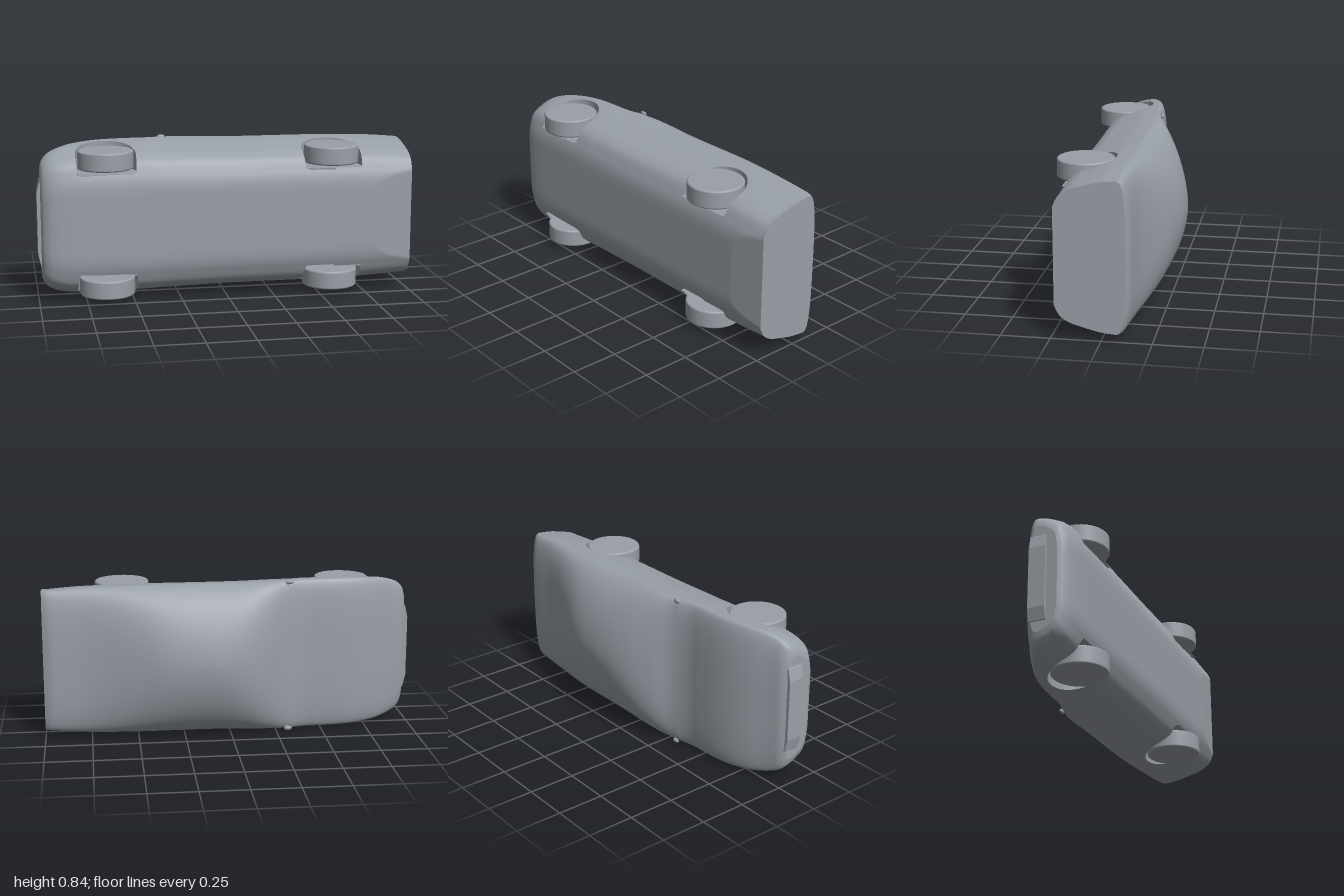
import * as THREE from 'three';

const MID = 0.42;            // height of the car's centre plane (it lies on its side, roof towards -z)
const ARCH_R = 0.158, ARCH_IN = 0.27, AXLE_Z = 0.15, AXLES = [-0.64, 0.57];

// Smooth cubic through [x, value] knots
function curve(knots) {
  const n = knots.length;
  const slope = (i) => {
    const a = knots[Math.max(0, i - 1)], b = knots[Math.min(n - 1, i + 1)];
    return (b[1] - a[1]) / (b[0] - a[0]);
  };
  return (x) => {
    let i = 0;
    while (i < n - 2 && x > knots[i + 1][0]) i++;
    const [x0, y0] = knots[i], [x1, y1] = knots[i + 1], h = x1 - x0;
    const t = Math.min(1, Math.max(0, (x - x0) / h)), u = 1 - t;
    return y0 * (1 + 2 * t) * u * u + y1 * t * t * (3 - 2 * t)
      + h * t * u * (slope(i) * u - slope(i + 1) * t);
  };
}

// Roof line, floor line and half width along the length
const roof = curve([[-0.982, 0.04], [-0.96, 0.02], [-0.9, -0.005], [-0.8, -0.05], [-0.7, -0.082],
  [-0.6, -0.099], [-0.5, -0.105], [-0.4, -0.111], [-0.3, -0.143], [-0.2, -0.21], [-0.1, -0.265],
  [0, -0.295], [0.1, -0.305], [0.2, -0.303], [0.3, -0.294], [0.4, -0.274], [0.5, -0.243],
  [0.6, -0.21], [0.7, -0.18], [0.8, -0.158], [0.9, -0.146], [0.96, -0.138], [1, -0.12]]);
const floor = curve([[-0.982, 0.19], [-0.97, 0.212], [-0.93, 0.235], [-0.85, 0.247], [-0.7, 0.25], [1, 0.25]]);
const halfWidth = curve([[-0.982, 0.29], [-0.972, 0.325], [-0.94, 0.36], [-0.88, 0.386], [-0.8, 0.402],
  [-0.65, 0.412], [-0.3, 0.413], [0, 0.406], [0.5, 0.404], [0.8, 0.397], [1, 0.382]]);
const shoulder = (x) => Math.max(-0.08, roof(x) + 0.05);

// Lower flank, from the middle of the floor (0, 1) to the shoulder (1, 0)
const flank = new THREE.SplineCurve([[0, 1], [0.2, 1], [0.42, 0.998], [0.54, 0.98], [0.64, 0.94], [0.785, 0.85],
  [0.87, 0.7], [0.91, 0.55], [0.945, 0.4], [0.98, 0.22], [1, 0]].map((p) => new THREE.Vector2(...p))).getSpacedPoints(60);

// Half width of the flank at a given place
function flankWidth(x, z) {
  const s = shoulder(x), t = Math.min(1, Math.max(0, (z - s) / (floor(x) - s)));
  for (let i = flank.length - 1; i > 0; i--) {
    const a = flank[i], b = flank[i - 1];
    if (t <= b.y) return halfWidth(x) * THREE.MathUtils.lerp(a.x, b.x, (t - a.y) / (b.y - a.y || 1));
  }
  return halfWidth(x) * 0.4;
}

// Half of a cross-section, floor to roof, as [w, z]
function halfSection(x) {
  const m = halfWidth(x), s = shoulder(x), f = floor(x), rise = s - roof(x);
  const cut = x > 0.8 ? 0.25 - (x - 0.8) * 0.1 : 1;
  const pts = flank.map((p) => [m * p.x, Math.min(cut, s + (f - s) * p.y)]);
  const power = THREE.MathUtils.mapLinear(rise, 0.05, 0.225, 3, 1.75);
  for (let i = 1; i <= 36; i++) {
    const a = i / 36 * Math.PI / 2;
    pts.push([m * Math.max(0, Math.cos(a)) ** (2 / power), s - rise * Math.sin(a) ** (2 / power)]);
  }
  return pts;
}

// Arch outline: a circle above the axle, nearly straight sides below it
const squash = (dz) => (dz > 0 ? dz * 0.45 : dz);

// Moves points near the arch rim onto it; returns true for points well inside
function trimToArch(p) {
  for (const axle of AXLES) {
    const dx = p.x - axle, dz = p.z - AXLE_Z, r = Math.hypot(dx, squash(dz));
    if (r >= ARCH_R || p.w < ARCH_IN) continue;
    if (r < ARCH_R - 0.015) return true;
    if (dz > 0) p.x = axle + Math.sign(dx) * Math.sqrt(ARCH_R ** 2 - squash(dz) ** 2);
    else { p.x = axle + dx * ARCH_R / r; p.z = AXLE_Z + dz * ARCH_R / r; }
    p.w = flankWidth(p.x, p.z);
  }
  return false;
}

function geometry(pos, index) {
  const g = new THREE.BufferGeometry();
  g.setAttribute('position', new THREE.Float32BufferAttribute(pos, 3));
  g.setIndex(index);
  g.computeVertexNormals();
  return g;
}

// Body shell lofted along x, with open wheel arches
function shellGeometry() {
  const xs = [-0.982, -0.979, -0.975];
  for (let i = 0; i <= 197; i++) xs.push(-0.97 + i * 0.01);
  const pos = [], inside = [], index = [];
  let n = 0;
  for (const x of xs) {
    const half = halfSection(x);
    const loop = [...half.map((p) => [...p, 1]), ...half.slice(1, -1).reverse().map((p) => [...p, -1])];
    n = loop.length;
    for (const [w, z, side] of loop) {
      const p = { x, z, w };
      inside.push(trimToArch(p));
      pos.push(p.x, MID + side * p.w, p.z);
    }
  }
  const tri = (a, b, c) => { if (!inside[a] && !inside[b] && !inside[c]) index.push(a, b, c); };
  for (let i = 0; i < xs.length - 1; i++) {
    for (let j = 0; j < n; j++) {
      const a = i * n + j, c = i * n + (j + 1) % n;
      tri(a, a + n, c);
      tri(c, a + n, c + n);
    }
  }
  return geometry(pos, index);
}

// Flat end panel closing the shell
function endGeometry(x, front) {
  const half = halfSection(x);
  const loop = [...half, ...half.slice(1, -1).reverse().map(([w, z]) => [-w, z])];
  const pos = [x, MID, 0.08], index = [];
  loop.forEach(([w, z], j) => {
    pos.push(x, MID + w, z);
    const a = j + 1, b = (j + 1) % loop.length + 1;
    index.push(0, front ? a : b, front ? b : a);
  });
  return geometry(pos, index);
}

// Wheel arch liner: rim wall and inner wall
function linerGeometries(axle, side) {
  const wall = [], wallIndex = [], back = [axle, MID + side * ARCH_IN, AXLE_Z], backIndex = [];
  const start = Math.asin(0.042 / ARCH_R), N = 64;
  for (let k = 0; k <= N; k++) {
    const a = start - (Math.PI + 2 * start) * k / N;
    const s = ARCH_R * Math.sin(a);
    const x = axle + ARCH_R * Math.cos(a), z = AXLE_Z + (s > 0 ? s / 0.45 : s);
    wall.push(x, MID + side * ARCH_IN, z, x, MID + side * Math.max(ARCH_IN, flankWidth(x, z)), z);
    back.push(x, MID + side * ARCH_IN, z);
    if (k < N) {
      const q = 2 * k;
      if (side > 0) wallIndex.push(q, q + 1, q + 2, q + 2, q + 1, q + 3);
      else wallIndex.push(q, q + 2, q + 1, q + 2, q + 3, q + 1);
    }
    const b = (k + 1) % (N + 1);
    backIndex.push(0, ...(side > 0 ? [k + 1, b + 1] : [b + 1, k + 1]));
  }
  return [geometry(wall, wallIndex), geometry(back, backIndex)];
}

// Wheel with softly rounded edges, axis along y
function wheelGeometry() {
  const r = 0.146, h = 0.049, e = 0.01, pts = [[0, -h], [r - e, -h], [r - e, -h]];
  for (let i = 0; i <= 5; i++) {
    const a = i / 5 * Math.PI / 2;
    pts.push([r - e + e * Math.sin(a), -h + e - e * Math.cos(a)]);
  }
  const upper = pts.map(([x, y]) => [x, -y]).reverse();
  return new THREE.LatheGeometry([...pts, ...upper].map((p) => new THREE.Vector2(...p)), 56);
}

export function createModel() {
  const car = new THREE.Group();
  car.name = 'car';
  const grey = new THREE.MeshStandardMaterial({ color: 0x9aa0a8, side: THREE.DoubleSide });
  grey.name = 'bodyGrey';
  const add = (name, geo, x = 0, y = 0, z = 0) => {
    const mesh = new THREE.Mesh(geo, grey);
    mesh.name = name;
    mesh.position.set(x, y, z);
    car.add(mesh);
    return mesh;
  };

  add('bodyShell', shellGeometry());
  add('nosePanel', endGeometry(-0.982, true));
  add('tailPanel', endGeometry(1, false));

  // Grille bar on the nose
  const bar = new THREE.Shape([[-0.97, -0.25], [-0.97, 0.25], [-0.985, 0.23], [-1, 0.165], [-1, -0.165], [-0.985, -0.23]]
    .map((p) => new THREE.Vector2(...p)));
  add('grilleBar', new THREE.ExtrudeGeometry(bar, { depth: 0.09, bevelEnabled: false }), 0, MID, 0.043);

  // Wheels, arch liners and mirrors on both sides
  for (const side of [1, -1]) {
    for (const axle of AXLES) {
      add('wheel', wheelGeometry(), axle, MID + side * 0.337, AXLE_Z);
      linerGeometries(axle, side).forEach((g) => add('wheelArchLiner', g));
    }
    add('mirror', new THREE.SphereGeometry(1, 20, 12), -0.315, MID + side * 0.408, -0.111).scale.set(0.022, 0.012, 0.009);
    add('mirrorArm', new THREE.BoxGeometry(0.014, 0.035, 0.008), -0.306, MID + side * 0.39, -0.108);
  }
  return car;
}
